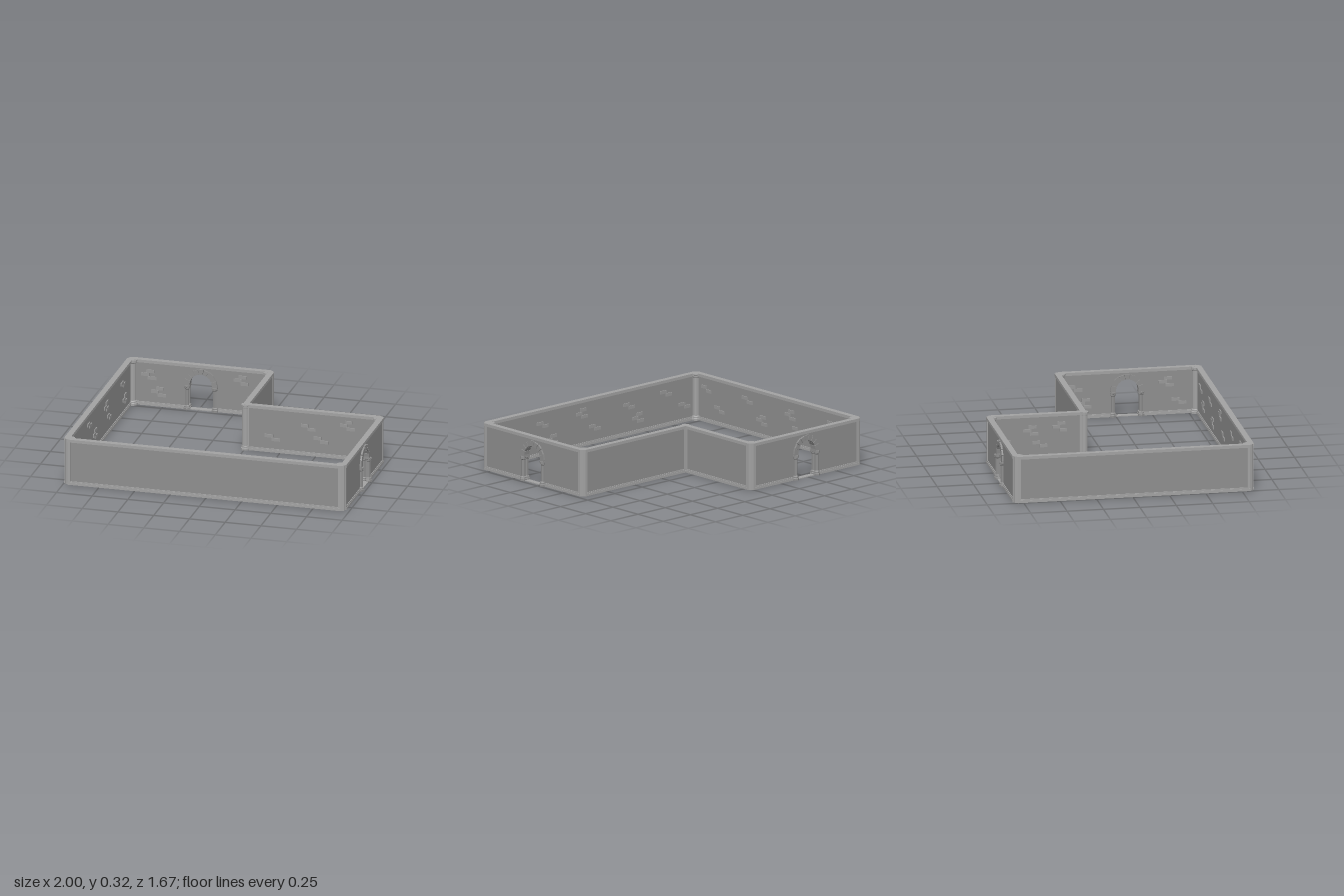
import * as THREE from 'three';

const H = 0.325, BASE = 0.025, TRIM = 0.02, THICK = 0.04, PANEL = 0.024;
const SPRING = 0.182, R_IN = 0.078, R_OUT = 0.115, JAMB = 0.09;

const stone = (color) => new THREE.MeshStandardMaterial({ color, flatShading: true });
const wallStone = stone(0x8e8e8e);
const trimStone = stone(0xa2a2a2);
const doorStone = stone(0x8e8e8e);
const brickStone = stone(0x989898);

// Wall centre lines, counter-clockwise seen from above: [x, z, door distance along the wall that starts here]
const corners = [
  [-0.98, 0.815], [0.955, 0.815, 0.49], [0.955, -0.152],
  [0.008, -0.152], [0.008, -0.8, 0.491], [-0.98, -0.8],
];
const REFLEX = 3;

let seed = 7;
function rand() {
  seed = (seed * 16807) % 2147483647;
  return seed / 2147483647;
}

function add(parent, name, material, geometry, x = 0, y = 0, z = 0) {
  const mesh = new THREE.Mesh(geometry, material);
  mesh.name = name;
  mesh.position.set(x, y, z);
  parent.add(mesh);
}

function box(parent, name, material, w, h, d, x, y, z) {
  add(parent, name, material, new THREE.BoxGeometry(w, h, d), x, y + h / 2, z);
}

// Turned column with stepped base and capital
function column(parent, name, material, x, z, top, shaft, foot, sides) {
  const points = [
    [0, 0], [foot, 0], [foot, 0.014], [foot * 0.85, 0.018], [foot * 0.85, 0.026], [shaft, 0.032],
    [shaft, top - 0.026], [foot * 0.8, top - 0.02], [foot * 0.8, top - 0.012],
    [foot * 0.92, top - 0.01], [foot * 0.92, top], [0, top],
  ].map(([r, y]) => new THREE.Vector2(r, y));
  add(parent, name, material, new THREE.LatheGeometry(points, sides), x, 0, z);
}

// Flat wall slab, optionally pierced by an arched doorway
function panel(parent, x0, x1, door) {
  const shape = new THREE.Shape();
  shape.moveTo(x0, 0.004);
  if (door !== undefined) {
    shape.lineTo(door - JAMB, 0.004);
    shape.lineTo(door - JAMB, SPRING);
    shape.absarc(door, SPRING, JAMB, Math.PI, 0, true);
    shape.lineTo(door + JAMB, 0.004);
  }
  shape.lineTo(x1, 0.004);
  shape.lineTo(x1, H - 0.004);
  shape.lineTo(x0, H - 0.004);
  const geometry = new THREE.ExtrudeGeometry(shape, { depth: PANEL, bevelEnabled: false, curveSegments: 18 });
  add(parent, 'wallPanel', wallStone, geometry, 0, 0, -PANEL / 2);
}

// Skirting made of two steps
function skirting(parent, x0, x1) {
  const w = x1 - x0, x = (x0 + x1) / 2;
  box(parent, 'skirtingFoot', trimStone, w, 0.016, THICK, x, 0, 0);
  box(parent, 'skirtingStep', trimStone, w, BASE - 0.016, THICK - 0.006, x, 0.016, 0);
}

// Ring of wedge stones on hexagonal columns
function doorway(parent, x) {
  const door = new THREE.Group();
  door.name = 'archedDoorway';
  door.position.x = x;
  parent.add(door);
  for (const sx of [-1, 1]) for (const sz of [-1, 1]) {
    column(door, 'doorColumn', doorStone, sx * 0.097, sz * 0.015, SPRING - 0.01, 0.014, 0.025, 6);
  }
  const count = 9, step = Math.PI / count, depth = 0.048;
  for (let i = 0; i < count; i++) {
    const a = i * step + 0.015, b = (i + 1) * step - 0.015;
    const outer = R_OUT - (i % 2 ? 0.003 : 0);
    const wedge = new THREE.Shape();
    wedge.moveTo(R_IN * Math.cos(a), R_IN * Math.sin(a));
    wedge.lineTo(outer * Math.cos(a), outer * Math.sin(a));
    wedge.lineTo(outer * Math.cos(b), outer * Math.sin(b));
    wedge.lineTo(R_IN * Math.cos(b), R_IN * Math.sin(b));
    add(door, 'archStone', doorStone, new THREE.ExtrudeGeometry(wedge, { depth, bevelEnabled: false }), 0, SPRING, -depth / 2);
  }
  for (const s of [-1, 1]) {
    box(door, 'archImpost', doorStone, R_OUT - R_IN, 0.014, depth, s * (R_OUT + R_IN) / 2, SPRING - 0.012, 0);
  }
  box(door, 'doorSill', trimStone, 2 * JAMB, 0.006, THICK, 0, 0, 0);
}

// Scattered clusters of raised bricks on the inner face
function brickClusters(parent, length, door) {
  const n = Math.max(3, Math.round(length / 0.36));
  for (let row = 0; row < 2; row++) for (let i = 0; i < n; i++) {
    const cx = (i + 0.3 + 0.25 * row + 0.2 * rand()) * length / n;
    const cy = (row ? 0.2 : 0.085) + 0.035 * rand();
    const bricks = rand() < 0.5 ? 2 : 3;
    if (door !== undefined && Math.abs(cx - door) < 0.19) continue;
    if (cx < 0.1 || cx > length - 0.1) continue;
    for (let k = 0; k < bricks; k++) {
      const x = cx + (k % 2 ? 0.028 : -0.02) + (k === 2 ? 0.012 : 0);
      box(parent, 'raisedBrick', brickStone, 0.05 + 0.01 * rand(), 0.022, 0.014, x, cy + (k - 1) * 0.024, -PANEL / 2);
    }
  }
}

// One straight wall; local x runs along it and local +z faces outdoors
function wall(parent, i) {
  const [x, z, door] = corners[i];
  const j = (i + 1) % corners.length;
  const dx = corners[j][0] - x, dz = corners[j][1] - z;
  const length = Math.hypot(dx, dz);
  const group = new THREE.Group();
  group.name = 'wall';
  group.position.set(x, 0, z);
  group.rotation.y = Math.atan2(-dz, dx);
  parent.add(group);

  const x0 = i === REFLEX ? -0.015 : 0.01;
  const x1 = j === REFLEX ? length + 0.015 : length - 0.01;
  panel(group, x0, x1, door);
  box(group, 'topRail', trimStone, x1 - x0, TRIM, THICK, (x0 + x1) / 2, H - TRIM, 0);
  if (door !== undefined) {
    skirting(group, x0, door - JAMB);
    skirting(group, door + JAMB, x1);
    doorway(group, door);
  } else {
    skirting(group, x0, x1);
  }
  for (const px of [0.02, length - 0.02]) {
    box(group, 'endPilaster', trimStone, 0.02, H - TRIM - BASE, 0.034, px, BASE, 0);
  }
  brickClusters(group, length, door);
}

export function createModel() {
  const model = new THREE.Group();
  model.name = 'courtyardWalls';
  corners.forEach(([x, z], i) => {
    wall(model, i);
    if (i === REFLEX) {
      column(model, 'innerCornerColumn', trimStone, x - 0.003, z + 0.006, H - 0.001, 0.024, 0.031, 12);
      return;
    }
    // Columns tucked into the convex corners, plus the rounded outside post
    const prev = corners[(i + corners.length - 1) % corners.length];
    const next = corners[(i + 1) % corners.length];
    const sx = Math.sign(prev[0] - x + next[0] - x), sz = Math.sign(prev[1] - z + next[1] - z);
    column(model, 'cornerColumn', trimStone, x + sx * 0.02, z + sz * 0.02, H - 0.001, 0.024, 0.036, 12);
    const post = new THREE.CylinderGeometry(0.026, 0.026, H, 8);
    add(model, 'outerCornerPost', trimStone, post, x + sx * 0.011, H / 2, z + sz * 0.011);
  });
  return model;
}
